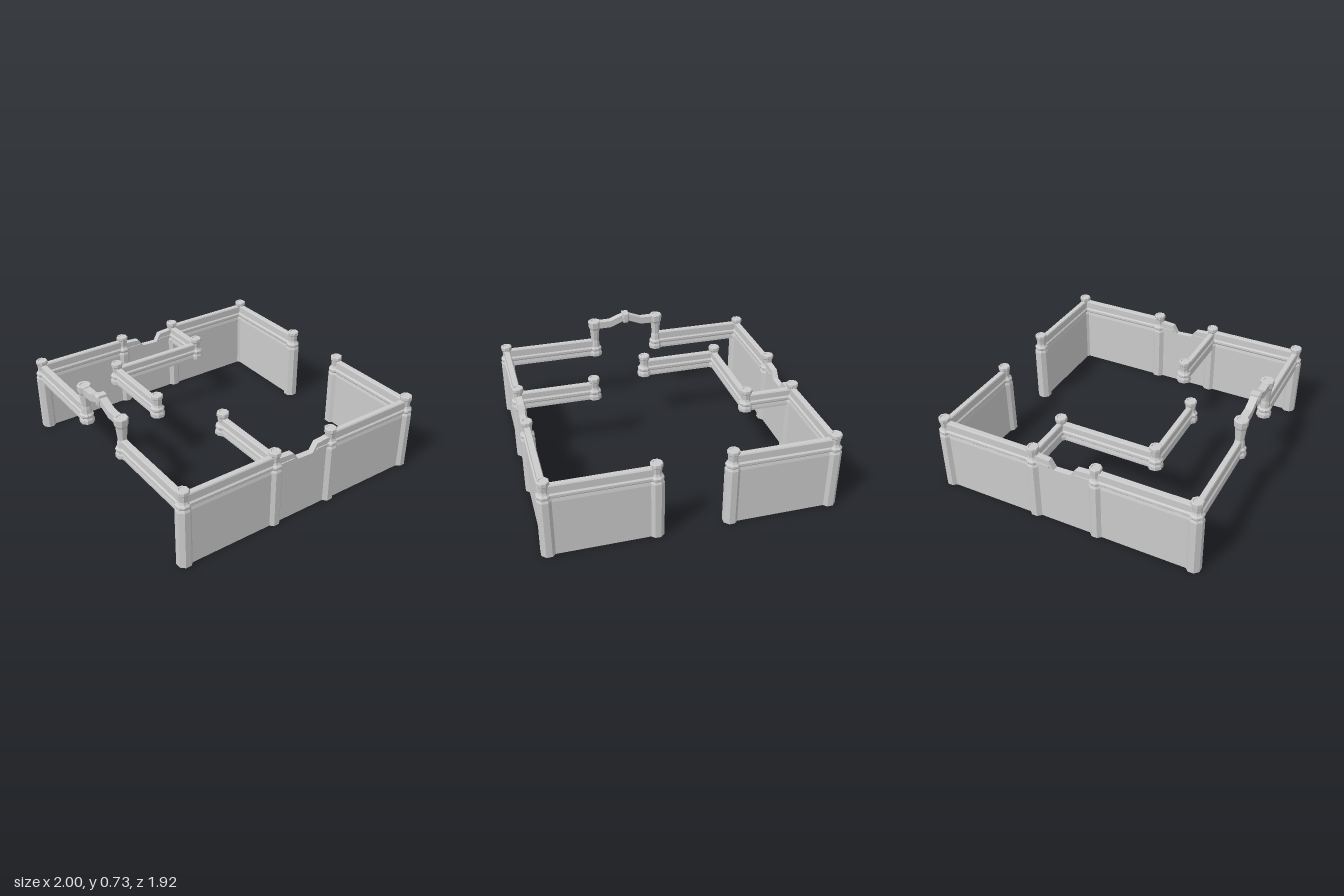
import * as THREE from 'three';

const stone = new THREE.MeshStandardMaterial({ color: 0xcccccc, flatShading: true, side: THREE.DoubleSide });
const X = 0.95, Z = 0.91;      // outer wall centre lines
const GATE = 0.25;             // gate post offset
const GROUND = 0, RAISED = 0.39;

function addMesh(parent, name, geometry) {
  const mesh = new THREE.Mesh(geometry, stone);
  mesh.name = name;
  parent.add(mesh);
  return mesh;
}

function polygon(points) {
  return new THREE.Shape(points.map(([x, y]) => new THREE.Vector2(x, y)));
}

// Octagonal post: apothem/height pairs turned with eight sides
function addPost(parent, name, x, z, base, tall = false) {
  const foot = [[0, base], [0.048, base], [0.048, 0.415], [0.041, 0.432], [0.046, 0.44],
    [0.046, 0.453], [0.035, 0.465]];
  const head = tall
    ? [[0.032, 0.5], [0.028, 0.52], [0.036, 0.612], [0.043, 0.628], [0.046, 0.675], [0.042, 0.681], [0.027, 0.681], [0.024, 0.675], [0, 0.675]]
    : [[0.03, 0.48], [0.034, 0.522], [0.039, 0.528], [0.039, 0.55], [0.035, 0.555], [0.026, 0.555], [0.023, 0.549], [0, 0.549]];
  const points = [...foot, ...head].map(([r, y]) => new THREE.Vector2(r / Math.cos(Math.PI / 8), y));
  const post = addMesh(parent, name, new THREE.LatheGeometry(points, 8, Math.PI / 8));
  post.position.set(x, 0, z);
}

// Straight wall: moulded cross-section swept from one point to another
function addWall(parent, name, [x1, z1], [x2, z2], base, top = 0.523) {
  const half = [[0.026, base], [0.026, 0.405], [0.021, 0.428], [0.03, 0.438],
    [0.03, 0.455], [0.021, 0.465], [0.021, top - 0.008], [0.016, top]];
  const outline = [...half, ...half.map(([x, y]) => [-x, y]).reverse()];
  const length = Math.hypot(x2 - x1, z2 - z1);
  const wall = addMesh(parent, name,
    new THREE.ExtrudeGeometry(polygon(outline), { depth: length, bevelEnabled: false }));
  wall.position.set(x1, 0, z1);
  wall.rotation.y = Math.atan2(x2 - x1, z2 - z1);
}

// Broken side section: full panel with a dip in its upper rail
function addBrokenWall(parent, x) {
  const slab = (name, points, width) => {
    const g = new THREE.ExtrudeGeometry(polygon(points), { depth: width, bevelEnabled: false });
    g.translate(0, 0, -width / 2);
    g.rotateY(-Math.PI / 2);   // shape x becomes z
    addMesh(parent, name, g).position.x = x;
  };
  slab('brokenWallPanel', [[-0.22, 0], [0.235, 0], [0.235, 0.5], [0.1, 0.49], [0.06, 0.435],
    [-0.06, 0.43], [-0.095, 0.49], [-0.22, 0.5]], 0.044);
  slab('brokenRailFront', [[0.095, 0.438], [0.235, 0.438], [0.235, 0.455], [0.095, 0.455]], 0.058);
  slab('brokenRailBack', [[-0.22, 0.438], [-0.09, 0.438], [-0.09, 0.455], [-0.22, 0.455]], 0.058);
}

// Gate arch: level ends rising to a keystone
function addArch(parent) {
  const right = [[0.025, 0.712], [0.125, 0.673], [0.24, 0.673], [0.24, 0.62], [0.125, 0.62], [0.025, 0.66]];
  const outline = [...right, ...right.map(([x, y]) => [-x, y]).reverse()];
  const beam = new THREE.ExtrudeGeometry(polygon(outline), { depth: 0.052, bevelEnabled: false });
  addMesh(parent, 'archBeam', beam).position.z = Z - 0.026;
  const key = [[-0.018, 0.645], [0.018, 0.645], [0.028, 0.69], [0.024, 0.728], [-0.024, 0.728], [-0.028, 0.69]];
  const keystone = new THREE.ExtrudeGeometry(polygon(key),
    { depth: 0.058, bevelEnabled: true, bevelSegments: 1, bevelSize: 0.012, bevelThickness: 0.01, bevelOffset: -0.012 });
  addMesh(parent, 'archKeystone', keystone).position.z = Z - 0.029;
}

export function createModel() {
  const model = new THREE.Group();
  model.name = 'walledCourt';

  // Outer enclosure, mirrored left and right
  for (const s of [-1, 1]) {
    const side = new THREE.Group();
    side.name = s > 0 ? 'leftEnclosure' : 'rightEnclosure';
    model.add(side);
    addWall(side, 'backWall', [s * X, -Z], [s * GATE, -Z], GROUND);
    addWall(side, 'frontWall', [s * X, Z], [s * GATE, Z], RAISED);
    addWall(side, 'sideWallBack', [s * X, -Z], [s * X, -0.22], GROUND);
    addWall(side, 'sideWallFront', [s * X, 0.235], [s * X, Z], GROUND);
    addBrokenWall(side, s * X);
    for (const z of [-Z, -0.22, 0.235, Z]) addPost(side, 'sidePost', s * X, z, GROUND);
    addPost(side, 'backGatePost', s * GATE, -Z, GROUND);
    addPost(side, 'frontGatePost', s * GATE, Z, RAISED, true);
  }

  // Gate arch
  const gate = new THREE.Group();
  gate.name = 'gateArch';
  model.add(gate);
  addArch(gate);

  // Raised inner partitions
  const inner = new THREE.Group();
  inner.name = 'innerPartitions';
  model.add(inner);
  const paths = [
    [[-X, -0.22], [-0.6, -0.22], [-0.6, 0.475], [-0.04, 0.475]],
    [[X, 0.235], [0.4, 0.235]],
  ];
  for (const path of paths) {
    for (let i = 1; i < path.length; i++) {
      addWall(inner, 'innerWall', path[i - 1], path[i], RAISED, 0.513);
      addPost(inner, 'innerPost', ...path[i], RAISED);
    }
  }
  return model;
}
